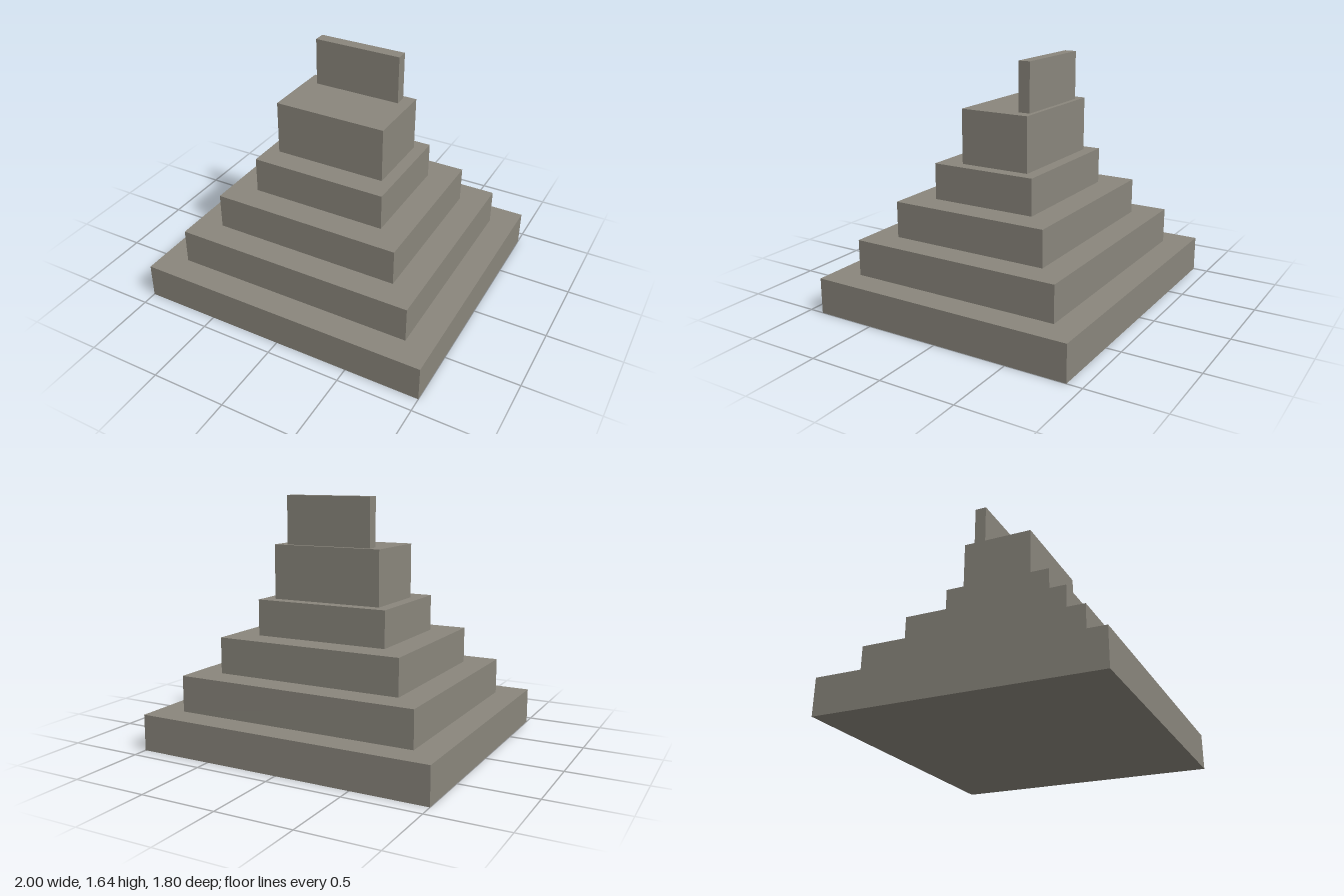
import * as THREE from 'three';

const TIER_HEIGHT = 0.24;

export function createModel() {
  const model = new THREE.Group();
  model.name = 'steppedPyramid';

  const stone = new THREE.MeshStandardMaterial({ color: 0x8a867c });
  stone.name = 'weathered stone';

  // Adds a stone block resting on the given height
  function addBlock(name, width, height, depth, bottom, z = 0) {
    const block = new THREE.Mesh(new THREE.BoxGeometry(width, height, depth), stone);
    block.name = name;
    block.position.set(0, bottom + height / 2, z);
    model.add(block);
  }

  // Four terraces, each stepped in by the same amount
  for (let i = 0; i < 4; i++) {
    const inset = 0.36 * i;
    addBlock(`terrace${i + 1}`, 2 - inset, TIER_HEIGHT, 1.8 - inset, i * TIER_HEIGHT);
  }

  // Temple set slightly back on the summit
  addBlock('temple', 0.76, 0.36, 0.48, 0.96, -0.04);

  // Thin upright crest along the back of the temple roof
  addBlock('roofComb', 0.6, 0.32, 0.08, 1.32, -0.21);

  return model;
}
